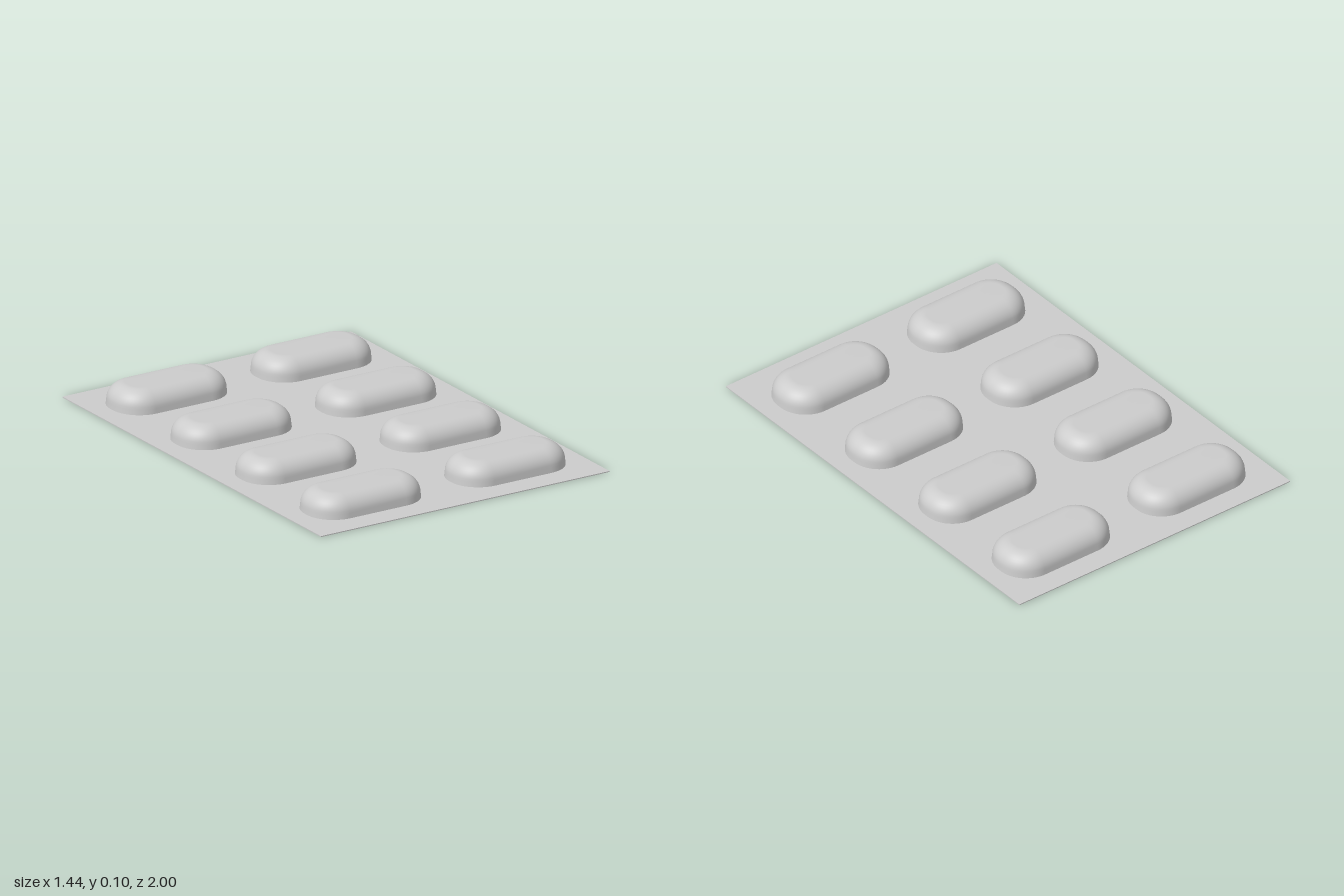
import * as THREE from 'three';

const HALF_X = 0.273, HALF_Z = 0.142, CORNER = 0.132, HEIGHT = 0.1, SHEET = 0.004;

// Outline of a rounded rectangle, shrunk inwards by inset
function ring(inset, y, steps = 12) {
  const r = CORNER - inset, points = [];
  for (let corner = 0; corner < 4; corner++) {
    const sx = corner === 0 || corner === 3 ? 1 : -1, sz = corner < 2 ? 1 : -1;
    for (let i = 0; i <= steps; i++) {
      const a = (corner + i / steps) * Math.PI / 2;
      points.push(sx * (HALF_X - CORNER) + r * Math.cos(a), y, sz * (HALF_Z - CORNER) + r * Math.sin(a));
    }
  }
  return points;
}

// Domed pocket: slightly drafted wall, rounded shoulder, flat top
function pocketGeometry() {
  const profile = [[0, 0], [0.003, 0.025]];
  const shoulder = 10, draft = 0.003, width = 0.08, wall = 0.025;
  for (let i = 1; i <= shoulder; i++) {
    const a = i / shoulder * Math.PI / 2;
    profile.push([draft + width * (1 - Math.cos(a)), wall + (HEIGHT - wall) * Math.sin(a)]);
  }
  const rings = profile.map(([inset, y]) => ring(inset, y));
  const n = rings[0].length / 3, positions = rings.flat(), index = [];
  for (let k = 0; k < rings.length - 1; k++) {
    for (let i = 0; i < n; i++) {
      const a = k * n + i, b = k * n + (i + 1) % n;
      index.push(a, a + n, b, b, a + n, b + n);
    }
  }
  const centre = positions.length / 3, last = (rings.length - 1) * n;
  positions.push(0, HEIGHT, 0);
  for (let i = 0; i < n; i++) index.push(centre, last + (i + 1) % n, last + i);

  const geometry = new THREE.BufferGeometry();
  geometry.setAttribute('position', new THREE.Float32BufferAttribute(positions, 3));
  geometry.setIndex(index);
  geometry.computeVertexNormals();
  return geometry;
}

export function createModel() {
  const model = new THREE.Group();
  model.name = 'blisterPack';
  const material = new THREE.MeshStandardMaterial({ color: 0xcccccc });

  // Thin backing sheet
  const sheet = new THREE.Mesh(new THREE.BoxGeometry(1.444, SHEET, 2), material);
  sheet.name = 'backingSheet';
  sheet.position.y = SHEET / 2;
  model.add(sheet);

  // Two columns of four pockets
  const geometry = pocketGeometry();
  const pockets = new THREE.Group();
  pockets.name = 'pockets';
  for (const x of [-0.36, 0.363]) {
    for (let row = 0; row < 4; row++) {
      const pocket = new THREE.Mesh(geometry, material);
      pocket.name = 'pocket';
      pocket.position.set(x, 0, -0.755 + row * 0.5);
      pockets.add(pocket);
    }
  }
  model.add(pockets);
  return model;
}
